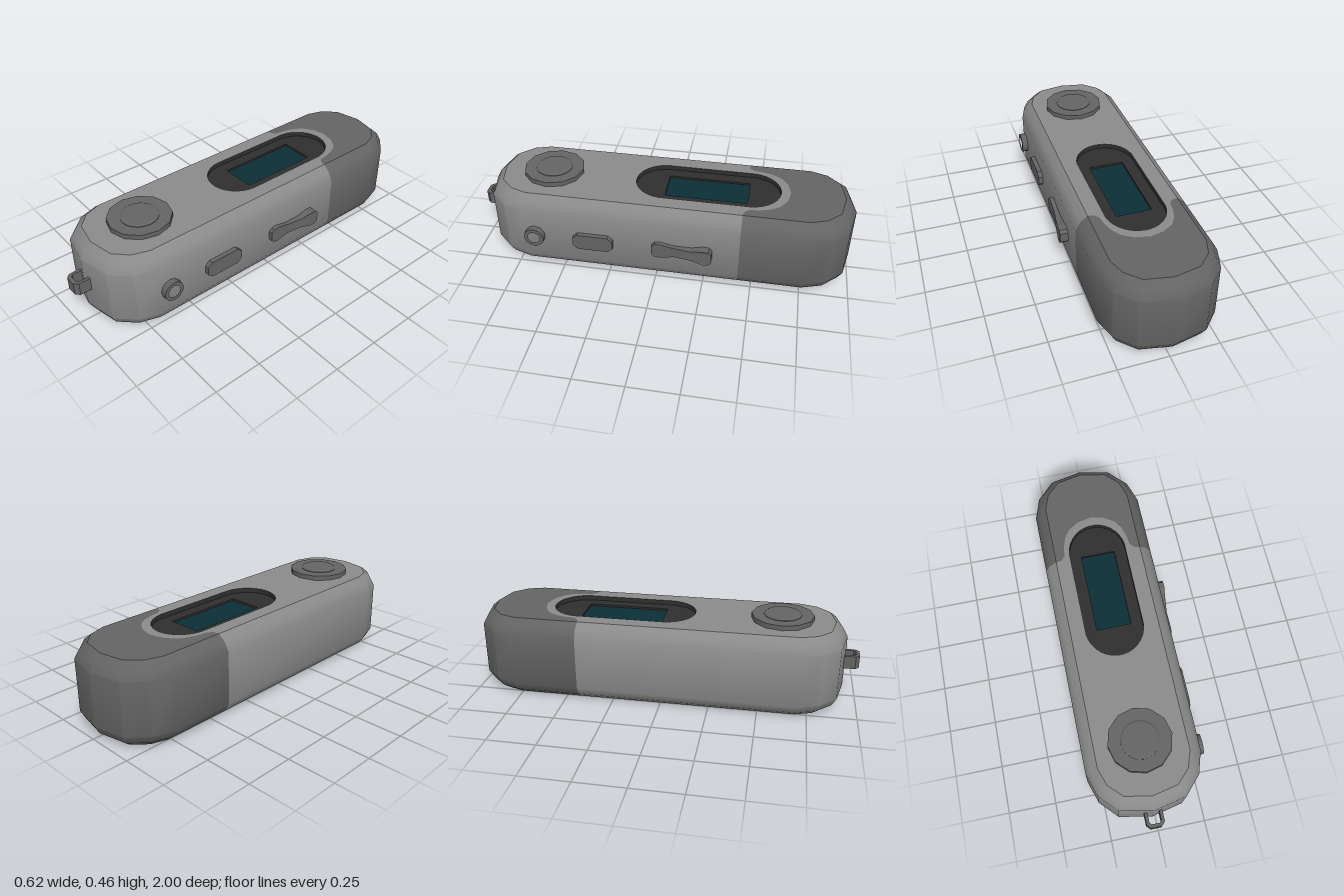
import * as THREE from 'three';
import { toCreasedNormals } from 'three/addons/utils/BufferGeometryUtils.js';

const CX = -0.022, W = 0.29, CUT = -0.43, TOP = 0.425;

const material = (name, color, side = THREE.FrontSide) => {
  const m = new THREE.MeshStandardMaterial({ color, side });
  m.name = name;
  return m;
};

// Skin between successive rings of [x, y, z] points
function skin(rings) {
  const pos = [];
  for (let i = 0; i < rings.length - 1; i++) {
    for (let j = 0; j < rings[i].length - 1; j++) {
      const a = rings[i][j], b = rings[i][j + 1], c = rings[i + 1][j + 1], d = rings[i + 1][j];
      pos.push(...b, ...a, ...d, ...b, ...d, ...c);
    }
  }
  const g = new THREE.BufferGeometry();
  g.setAttribute('position', new THREE.Float32BufferAttribute(pos, 3));
  return toCreasedNormals(g, 0.62);
}

// Horizontal face from [x, z] points, facing up or down
function flat(points, y, up = true, hole = null) {
  const k = up ? -1 : 1;
  const vecs = (pts) => pts.map(([x, z]) => new THREE.Vector2(x, k * z));
  const shape = new THREE.Shape(vecs(points));
  if (hole) shape.holes.push(new THREE.Path(vecs(hole)));
  return new THREE.ShapeGeometry(shape).rotateX(k * Math.PI / 2).translate(0, y, 0);
}

// Vertical wall round a closed outline
const wall = (pts, y0, y1) => skin([y0, y1].map((y) => [...pts, pts[0]].map(([x, z]) => [x, y, z])));

// Half of the case outline, s = 1 for the front end, -1 for the back end
function endOutline(s, inset) {
  const half = [[W, 0], [0.253, 0.115], [0.168, 0.205]];
  const arc = [...half, [0, 0.24], ...half.map(([x, z]) => [-x, z]).reverse()];
  const k = (W - inset) / W, kz = (0.24 - inset) / 0.24;
  const centre = s > 0 ? 0.69 : -0.76;
  const pts = arc.map(([x, z]) => [CX + s * x * k, centre + s * z * kz]);
  return [[CX + s * W * k, CUT], ...pts, [CX - s * W * k, CUT]];
}

const PROFILE = [[0, 0.062], [0.03, 0.025], [0.075, 0], [0.35, 0], [0.395, 0.025], [TOP, 0.062]];

// Extrusion towards +x from [z, y] points
function sidePart(points, x0, depth, hole = null) {
  const vecs = (pts) => pts.map(([z, y]) => new THREE.Vector2(-z, y));
  const shape = new THREE.Shape(vecs(points));
  if (hole) shape.holes.push(new THREE.Path(vecs(hole)));
  return new THREE.ExtrudeGeometry(shape, { depth, bevelEnabled: false })
    .rotateY(Math.PI / 2).translate(x0, 0, 0);
}

const mirrorY = (half, y) => [...half.map(([z, h]) => [z, y + h]), ...half.map(([z, h]) => [z, y - h]).reverse()];
const circle = (z, y, r, n) => Array.from({ length: n }, (_, i) => {
  const a = (i / n) * Math.PI * 2;
  return [z + r * Math.cos(a), y + r * Math.sin(a)];
});

export function createModel() {
  const group = new THREE.Group();
  const light = material('light grey', 0x8a8a8a);
  const grey = material('mid grey', 0x646464);
  const dark = material('dark bezel', 0x2f2f2f, THREE.DoubleSide);
  const teal = material('screen teal', 0x0d2f37);
  const add = (name, geometry, mat) => {
    const mesh = new THREE.Mesh(geometry, mat);
    mesh.name = name;
    group.add(mesh);
    return mesh;
  };

  // Rounded tongue of the body that reaches into the cap
  const halfTongue = [[0.222, CUT], [0.196, -0.437], [0.178, -0.46], [0.172, -0.51],
    [0.155, -0.565], [0.125, -0.61], [0.07, -0.645]];
  const tongue = [...halfTongue, [0, -0.66], ...halfTongue.map(([x, z]) => [-x, z]).reverse()]
    .map(([x, z]) => [CX + x, z]);

  // Recess outline with elliptical ends
  const recess = Array.from({ length: 32 }, (_, i) => {
    const a = ((i + 0.5) / 32) * Math.PI * 2, s = Math.sin(a);
    return [CX + 0.151 * Math.cos(a), s > 0 ? -0.01 + 0.158 * s : -0.45 + 0.16 * s];
  });

  // Case shells, with top and bottom faces
  for (const [name, s, mat] of [['body', 1, light], ['cap', -1, grey]]) {
    const rings = PROFILE.map(([y, inset]) => endOutline(s, inset).map(([x, z]) => [x, y, z]));
    add(name + 'Shell', skin(rings), mat);
    const edge = endOutline(s, 0.062);
    const face = s > 0 ? [...edge, ...[...tongue].reverse()] : [...edge, ...tongue];
    add(name + 'Top', flat(face, TOP, true, s > 0 ? recess : null), mat);
    add(name + 'Bottom', flat(face, 0, false), mat);
  }

  // Sunken bezel and screen
  const screen = [[-0.112, -0.445], [0.068, -0.445], [0.068, -0.017], [-0.112, -0.017]];
  add('bezelWall', wall(recess, 0.4, TOP), dark);
  add('bezelFloor', flat(recess, 0.4, true, screen), dark);
  add('screenWall', wall(screen, 0.39, 0.4), dark);
  add('screen', flat(screen, 0.39), teal);

  // Round control pad on top
  const base = new THREE.CylinderGeometry(0.16, 0.16, 0.03, 12);
  add('padBase', toCreasedNormals(base, 0.6), grey).position.set(CX, 0.435, 0.598);
  const knob = new THREE.LatheGeometry(
    [[0.097, 0], [0.097, 0.004], [0.088, 0.01], [0, 0.01]].map(([x, y]) => new THREE.Vector2(x, y)), 20);
  add('padButton', toCreasedNormals(knob, 0.5), grey).position.set(CX, 0.449, 0.598);

  // Side controls: socket, push button and slider
  add('socket', toCreasedNormals(
    sidePart(circle(0.637, 0.207, 0.053, 12), 0.255, 0.045, circle(0.637, 0.207, 0.033, 12)), 0.6), grey);
  add('sideButton', sidePart(
    mirrorY([[0.43, 0.022], [0.405, 0.044], [0.245, 0.044], [0.22, 0.022]], 0.205), 0.255, 0.037), grey);
  const slider = sidePart(mirrorY([[0.015, 0.025], [0, 0.04], [-0.03, 0.043], [-0.1, 0.028],
    [-0.19, 0.028], [-0.25, 0.043], [-0.28, 0.04], [-0.295, 0.025]], 0.205), 0.255, 0.036);
  const p = slider.attributes.position;
  for (let i = 0; i < p.count; i++) {
    if (p.getX(i) < 0.27) continue;
    p.setX(i, 0.29 + 0.02 * THREE.MathUtils.clamp((-0.1 - p.getZ(i)) / 0.15, 0, 1));
  }
  slider.computeVertexNormals();
  add('sideSlider', slider, grey);

  // U-shaped strap loop on the front
  const outer = [[-0.046, 0.9], [-0.046, 0.98], [-0.028, 1], [0.028, 1], [0.046, 0.98], [0.046, 0.9]];
  const inner = [[0.03, 0.9], [0.03, 0.972], [0.02, 0.982], [-0.02, 0.982], [-0.03, 0.972], [-0.03, 0.9]];
  const loop = new THREE.Shape([...outer, ...inner].map(([x, z]) => new THREE.Vector2(CX + x, -z)));
  add('strapLoop', new THREE.ExtrudeGeometry(loop, { depth: 0.068, bevelEnabled: false })
    .rotateX(-Math.PI / 2).translate(0, 0.192, 0), grey);

  return group;
}
